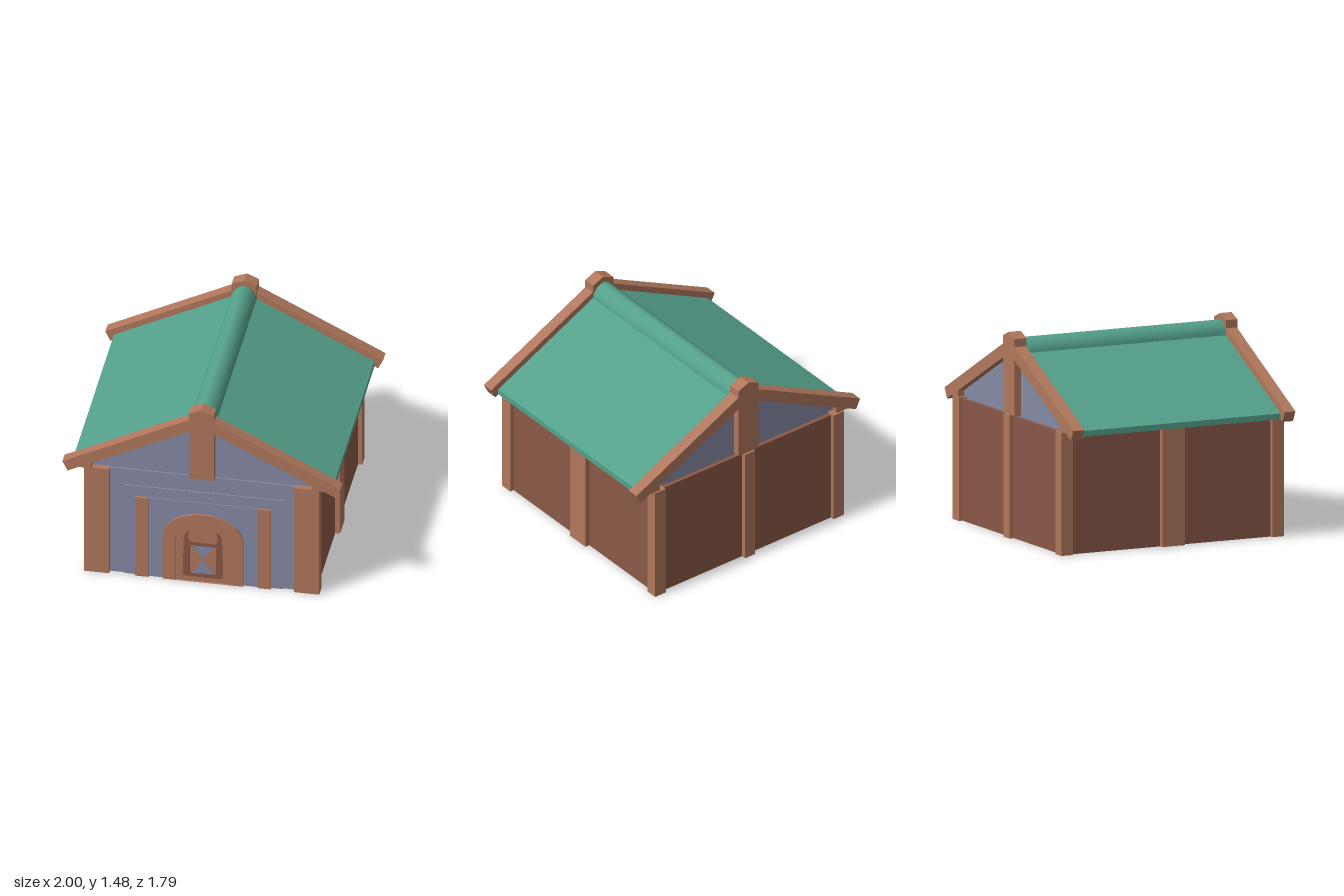
import * as THREE from 'three';
import { toCreasedNormals } from 'three/addons/utils/BufferGeometryUtils.js';

const material = (name, color) => {
  const m = new THREE.MeshStandardMaterial({ color });
  m.name = name;
  return m;
};

export function createModel() {
  const wood = material('light wood', 0xb0775c);
  const darkWood = material('dark wood', 0x8a5847);
  const plaster = material('grey blue plaster', 0x868aa4);
  const green = material('green roof', 0x54a08b);

  const house = new THREE.Group();
  house.name = 'house';

  const add = (name, geometry, mat) => {
    const mesh = new THREE.Mesh(geometry, mat);
    mesh.name = name;
    house.add(mesh);
    return mesh;
  };
  // Box given by its lower and upper limits on each axis
  const box = (name, mat, x0, x1, y0, y1, z0, z1) => {
    const mesh = add(name, new THREE.BoxGeometry(x1 - x0, y1 - y0, z1 - z0), mat);
    mesh.position.set((x0 + x1) / 2, (y0 + y1) / 2, (z0 + z1) / 2);
    return mesh;
  };
  const polygon = (points) => new THREE.Shape(points.map(([x, y]) => new THREE.Vector2(x, y)));
  // Outline extruded between two z values
  const slab = (name, mat, shape, z0, z1) => {
    const geometry = new THREE.ExtrudeGeometry(shape, { depth: z1 - z0, bevelEnabled: false, curveSegments: 20 });
    geometry.translate(0, 0, z0);
    return add(name, toCreasedNormals(geometry, 0.6), mat);
  };
  const mirrored = (points) => [...points, ...points.map(([x, y]) => [-x, y]).reverse()];

  // Side walls with a middle post
  for (const s of [-1, 1]) {
    const side = (name, mat, a, b, y, z0, z1) =>
      box(name, mat, Math.min(s * a, s * b), Math.max(s * a, s * b), 0, y, z0, z1);
    side('sideWall', darkWood, 0.785, 0.815, 0.87, -0.84, 0.82);
    side('sidePost', wood, 0.75, 0.85, 0.87, -0.09, 0.09);
    side('frontCornerPost', wood, 0.665, 0.845, 0.885, 0.785, 0.88);
    side('backCornerPost', wood, 0.75, 0.845, 0.885, -0.89, -0.8);
  }

  // Back wall and its post
  box('backWall', darkWood, -0.8, 0.8, 0, 0.875, -0.86, -0.83);
  box('backPost', wood, -0.045, 0.045, 0, 0.885, -0.895, -0.8);

  // Front wall, layered evenly on both faces
  const zf = 0.832;
  box('frontWall', plaster, -0.7, 0.7, 0, 0.88, zf - 0.014, zf + 0.014);
  box('frontPanel', plaster, -0.56, 0.58, 0, 0.75, zf - 0.024, zf + 0.024);
  box('entrancePanel', plaster, -0.45, 0.46, 0, 0.665, zf - 0.03, zf + 0.03);
  box('entrancePost', wood, -0.48, -0.385, 0, 0.667, zf - 0.044, zf + 0.044);
  box('entrancePost', wood, 0.4, 0.495, 0, 0.667, zf - 0.044, zf + 0.044);

  // Arched doorway
  const arch = (path, rx, base, spring, top) => {
    path.moveTo(-rx, base);
    path.lineTo(rx, base);
    path.lineTo(rx, spring);
    path.absellipse(0, spring, rx, top - spring, 0, Math.PI, false);
    path.lineTo(-rx, base);
    return path;
  };
  const frame = arch(new THREE.Shape(), 0.29, 0, 0.36, 0.572);
  frame.holes.push(arch(new THREE.Path(), 0.195, 0.001, 0.37, 0.508));
  slab('doorFrame', wood, frame, zf - 0.046, zf + 0.046).position.x = 0.008;
  slab('door', wood, arch(new THREE.Shape(), 0.21, 0, 0.37, 0.52), zf - 0.034, zf + 0.034).position.x = 0.006;

  // Door ornament: horned surround and crossed window
  const surround = new THREE.Shape();
  surround.moveTo(-0.12, 0.04);
  surround.lineTo(0.12, 0.04);
  surround.quadraticCurveTo(0.145, 0.04, 0.145, 0.07);
  surround.lineTo(0.138, 0.34);
  surround.quadraticCurveTo(0.135, 0.42, 0.095, 0.425);
  surround.quadraticCurveTo(0.12, 0.335, 0.08, 0.33);
  surround.lineTo(-0.08, 0.33);
  surround.quadraticCurveTo(-0.12, 0.335, -0.095, 0.425);
  surround.quadraticCurveTo(-0.135, 0.42, -0.138, 0.34);
  surround.lineTo(-0.145, 0.07);
  surround.quadraticCurveTo(-0.145, 0.04, -0.12, 0.04);
  surround.holes.push(polygon([[-0.095, 0.07], [0.095, 0.07], [0.095, 0.303], [-0.095, 0.303]]));
  const panes = [
    [[-0.08, 0.07], [0.08, 0.07], [0, 0.187]],
    [[-0.08, 0.303], [0, 0.187], [0.08, 0.303]],
  ];
  for (const z of [zf + 0.033, zf - 0.039]) {
    slab('doorSurround', darkWood, surround, z, z + 0.006).position.x = 0.007;
    for (const p of panes) slab('doorPane', plaster, polygon(p), z + 0.001, z + 0.005).position.x = 0.008;
  }

  // Gable block, closing the space under the roof
  slab('gable', plaster, polygon(mirrored([[0.925, 0.862], [0.925, 0.88], [0, 1.345]])), -0.825, 0.835);

  // Roof covering with a rounded ridge
  const roof = polygon(mirrored([
    [0.915, 0.86], [0.937, 0.86], [0.937, 0.902], [0.09, 1.33], [0.086, 1.36],
    [0.07, 1.39], [0.045, 1.413], [0.02, 1.427],
  ]).toSpliced(8, 0, [0, 1.43]).concat([[-0.915, 0.88], [0, 1.335], [0.915, 0.88]]));
  slab('roof', green, roof, -0.79, 0.81);

  // Gable beams and peaked king posts at both ends
  const beam = [[0.05, 1.4], [0.05, 1.3], [0.79, 0.93], [0.79, 0.885], [0.885, 0.885], [0.963, 0.845], [1, 0.92]];
  const king = polygon(mirrored([[0.09, 0.885], [0.09, 1.438], [0, 1.476]]));
  for (const [z0, z1] of [[0.805, 0.89], [-0.875, -0.785]]) {
    for (const s of [-1, 1]) slab('gableBeam', wood, polygon(beam.map(([x, y]) => [s * x, y])), z0, z1);
    slab('kingPost', wood, king, z0 - 0.003, z1 + 0.004);
  }

  return house;
}
